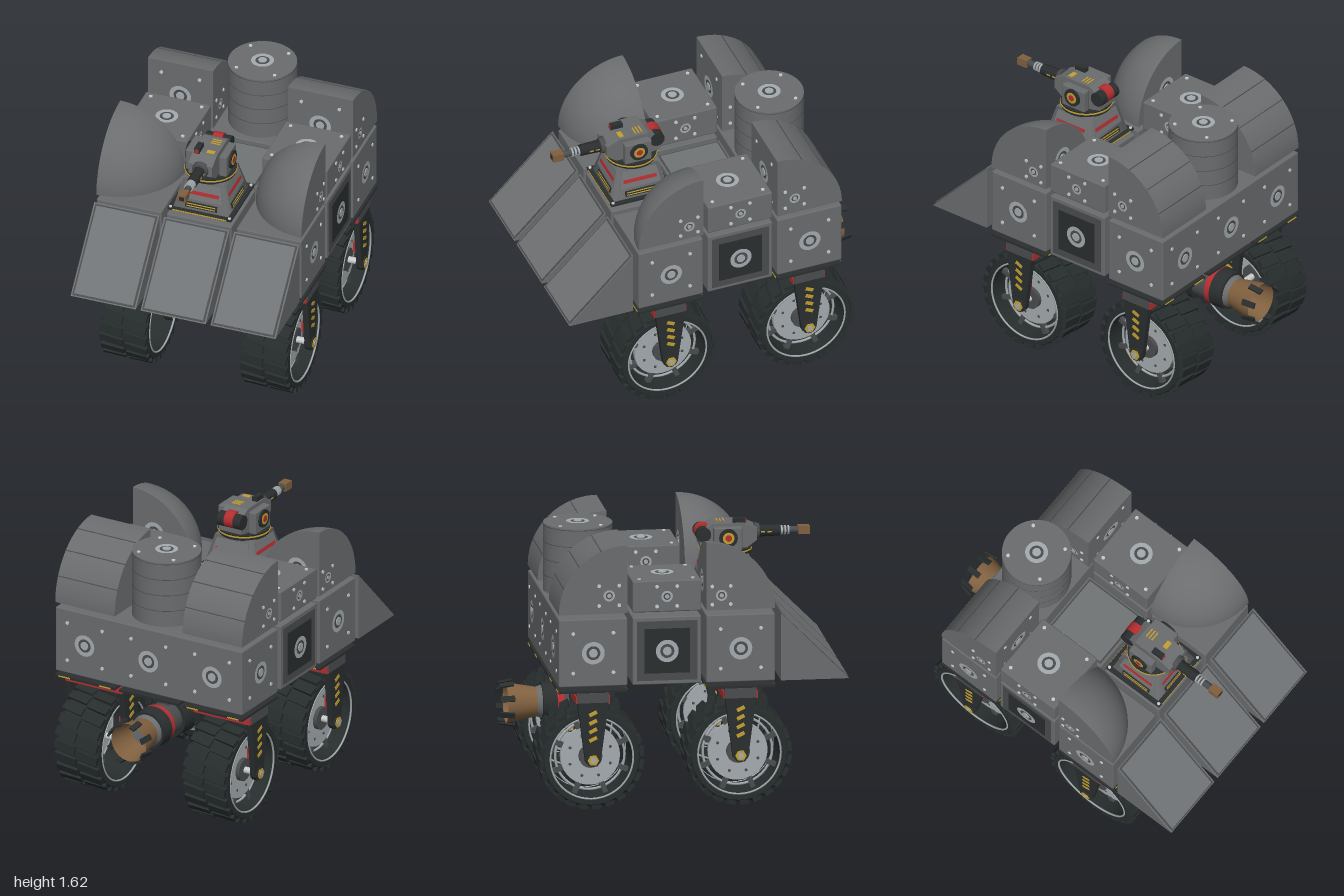
import * as THREE from 'three';
import { mergeGeometries, toCreasedNormals } from 'three/addons/utils/BufferGeometryUtils.js';
import { RoundedBoxGeometry } from 'three/addons/geometries/RoundedBoxGeometry.js';

const mat = (name, color, side = THREE.FrontSide) => new THREE.MeshStandardMaterial({ name, color, side });
const hull = mat('hull grey', 0x6a6c6e, THREE.DoubleSide), panel = mat('panel grey', 0x717476);
const trim = mat('trim grey', 0x4a4c4e), dark = mat('dark metal', 0x2a2e2f);
const rubber = mat('rubber', 0x272d2d), steel = mat('light steel', 0xa4abaf);
const red = mat('red paint', 0xb42e30), yellow = mat('yellow paint', 0xc4a02e);
const copper = mat('copper', 0x80603f, THREE.DoubleSide), bolt = mat('bolt', 0xc8cbcc);
const Z = new THREE.Vector3(0, 0, 1), S = 0.41, COLS = [-0.44, 0, 0.44];

function add(parent, name, geo, m, x = 0, y = 0, z = 0) {
  const mesh = new THREE.Mesh(geo, m);
  mesh.name = name;
  mesh.position.set(x, y, z);
  parent.add(mesh);
  return mesh;
}
function group(parent, name, x = 0, y = 0, z = 0) {
  const g = new THREE.Group();
  g.name = name;
  g.position.set(x, y, z);
  parent.add(g);
  return g;
}
const box = (w, h, d) => new THREE.BoxGeometry(w, h, d);
const block = (w, h, d) => new RoundedBoxGeometry(w, h, d, 1, 0.008);
// Cylinders along each axis; the first radius is at the positive end
const cylY = (a, b, l, n = 24, open = false) => new THREE.CylinderGeometry(a, b, l, n, 1, open);
const cylX = (r, l, n = 24) => cylY(r, r, l, n).rotateZ(-Math.PI / 2);
const cylZ = (a, b, l, n = 24, open = false) => cylY(a, b, l, n, open).rotateX(Math.PI / 2);
function polygon(points) {
  return new THREE.Shape(points.map(([x, y]) => new THREE.Vector2(x, y)));
}
const extrude = (shape, depth, curveSegments = 20) =>
  new THREE.ExtrudeGeometry(shape, { depth, bevelEnabled: false, curveSegments });

// Round socket with optional corner bolts, laid on a face with normal n
function socket(parent, x, y, z, n, size = 1, boltAt = [0.12, 0.12]) {
  const g = group(parent, 'socket', x, y, z);
  g.quaternion.setFromUnitVectors(Z, new THREE.Vector3(...n));
  add(g, 'socketRing', new THREE.RingGeometry(0.042 * size, 0.068 * size, 28), steel, 0, 0, 0.004);
  add(g, 'socketWell', new THREE.CircleGeometry(0.042 * size, 20), trim, 0, 0, 0.003);
  add(g, 'socketPin', cylZ(0.026 * size, 0.026 * size, 0.01, 16), steel, 0, 0, 0.003);
  if (boltAt) for (const i of [-1, 1]) for (const j of [-1, 1])
    add(g, 'bolt', cylZ(0.011, 0.011, 0.006, 10), bolt, i * boltAt[0], j * boltAt[1], 0.002);
}

function buildDeck(root) {
  const g = group(root, 'deck'), y = 0.965;
  add(g, 'rearBeam', block(1.29, S, S), hull, 0, y, -0.525);
  for (const x of COLS) {
    add(g, 'frontBlock', block(S, S, S), hull, x, y, 0.355);
    add(g, 'middleBlock', block(S, S, S), hull, x, y, -0.085);
    socket(g, x, y, -0.731, [0, 0, -1]);
    // Sloped nose wedge with its framed plate
    const wedge = extrude(polygon([[0.595, 0.76], [1, 0.76], [0.595, 1.17]]), S).rotateY(-Math.PI / 2);
    add(g, 'noseWedge', wedge, hull, x + S / 2, 0, 0);
    for (const [w, l, m, o] of [[0.39, 0.56, trim, 0.001], [0.37, 0.54, panel, 0.003]])
      add(g, 'nosePlate', box(w, 0.004, l), m, x, y + o, 0.7975 + o).rotation.x = Math.PI / 4;
  }
  add(g, 'centreRim', box(0.38, 0.004, 0.38), trim, 0, 1.171, -0.085);
  add(g, 'centrePlate', box(0.36, 0.006, 0.36), panel, 0, 1.172, -0.085);
  for (const s of [-1, 1]) {
    for (const z of [0.355, -0.525]) socket(g, s * 0.646, y, z, [s, 0, 0]);
    add(g, 'sideFrame', box(0.006, 0.36, 0.36), trim, s * 0.645, y, -0.085);
    add(g, 'sidePort', box(0.008, 0.27, 0.27), dark, s * 0.648, y, -0.085);
    socket(g, s * 0.652, y, -0.085, [s, 0, 0], 1, null);
  }
  add(g, 'bellyPort', box(0.36, 0.008, 0.36), dark, 0, 0.76, -0.085);
  socket(g, 0, 0.755, -0.085, [0, -1, 0], 1, null);
  socket(g, 0, 0.759, 0.355, [0, -1, 0]);
}

function buildUpperArmour(root) {
  const g = group(root, 'upperArmour'), q = Math.PI / 2;
  for (const s of [-1, 1]) {
    // Ball-corner shield at the front
    const o = group(g, 'frontShield', s * 0.645, 1.2, 0.15), start = s > 0 ? q : 0;
    add(o, 'shieldDome', new THREE.SphereGeometry(S, 20, 20, s > 0 ? 0 : q, q, 0, q), hull);
    add(o, 'shieldBack', new THREE.CircleGeometry(S, 20, start, q), hull);
    add(o, 'shieldBase', new THREE.CircleGeometry(S, 20, start, q).rotateX(q), hull);
    add(o, 'shieldSide', new THREE.CircleGeometry(S, 20, 0, q).rotateY(-q), hull);
    socket(o, s * 0.001, 0.09, 0.09, [s, 0, 0], 0.5, [0.055, 0.055]);
    socket(o, -s * 0.15, 0.15, -0.001, [0, 0, -1], 1, null);
    // Half-height block in the middle
    add(g, 'sideBlock', block(S, 0.19, S), hull, s * 0.44, 1.295, -0.085);
    socket(g, s * 0.44, 1.391, -0.085, [0, 1, 0], 1, [0.16, 0.16]);
    for (const f of [-1, 1]) socket(g, s * 0.44 + f * 0.206, 1.295, -0.085, [f, 0, 0], 0.5, [0.06, 0.06]);
    // Quarter-round shield at the rear
    const r = group(g, 'rearShield', s * 0.44, 1.2, -0.32);
    const shape = new THREE.Shape().moveTo(0, 0).lineTo(S, 0).absarc(0, 0, S, 0, q, false);
    add(r, 'rearCurve', toCreasedNormals(extrude(shape, S).rotateY(q), 0.5), hull, -S / 2);
    for (const k of [1, 2, 3]) {
      const a = k * q / 4;
      add(r, 'seam', box(S, 0.004, 0.006), trim, 0, S * Math.sin(a), -S * Math.cos(a)).rotation.x = a - q;
    }
    socket(r, 0, 0.19, 0.001, [0, 0, 1], 1, [0.12, 0.14]);
    for (const f of [-1, 1]) socket(r, f * 0.206, 0.11, -0.11, [f, 0, 0], 0.5, [0.06, 0.06]);
  }
  // Drum between the rear shields
  add(g, 'drum', cylY(0.205, 0.205, S, 40), hull, 0, 1.405, -0.525);
  for (const y of [1.3, 1.4, 1.5, 1.6]) add(g, 'drumSeam', cylY(0.2065, 0.2065, 0.004, 40, true), trim, 0, y, -0.525);
  socket(g, 0, 1.611, -0.525, [0, 1, 0], 1, [0.12, 0.12]);
}

function buildWheel(root, s, z) {
  const g = group(root, 'wheelUnit', s * 0.4425, 0, z), w = group(g, 'wheel', 0, 0.313, 0);
  // Tyre and slanted treads
  const profile = [[0.245, -0.147], [0.283, -0.147], [0.297, -0.125], [0.297, 0.125], [0.283, 0.147], [0.245, 0.147], [0.245, -0.147]];
  const tyre = new THREE.LatheGeometry(profile.map(p => new THREE.Vector2(...p)), 48).rotateZ(Math.PI / 2);
  add(w, 'tyre', toCreasedNormals(tyre, 0.5), rubber);
  const lugs = [];
  for (let i = 0; i < 24; i++) for (const h of [-1, 1])
    lugs.push(box(0.14, 0.026, 0.055).rotateY(-0.16).translate(h * 0.075, 0.299, h * 0.012).rotateX((i + h * 0.1) * Math.PI / 12));
  add(w, 'treads', mergeGeometries(lugs), rubber);
  // Rim, disc and axle
  const turn = geo => geo.rotateY(Math.PI / 2);
  for (const e of [-1, 1]) add(w, 'rimEdge', turn(new THREE.TorusGeometry(0.247, 0.006, 6, 48)), steel, e * 0.146);
  add(w, 'rimRing', turn(new THREE.TorusGeometry(0.207, 0.008, 6, 40)), steel, s * 0.06);
  add(w, 'disc', cylX(0.178, 0.03, 36), steel, s * 0.06);
  add(w, 'hub', cylX(0.07, 0.08, 20), trim, s * 0.06);
  add(w, 'axle', cylX(0.02, 0.37, 14), bolt);
  for (let i = 0; i < 8; i++) {
    const a = (i + 0.5) * Math.PI / 4, c = Math.cos(a), d = Math.sin(a);
    add(w, 'spoke', box(0.03, 0.075, 0.03), trim, s * 0.06, c * 0.212, d * 0.212).rotation.x = a;
    add(w, 'discHole', cylX(0.009, 0.034, 10), trim, s * 0.06, c * 0.13, d * 0.13);
  }
  // Fork
  const f = group(g, 'fork');
  const leg = extrude(polygon([[-0.095, 0.68], [-0.045, 0.3], [-0.025, 0.275], [0.025, 0.275], [0.045, 0.3], [0.095, 0.68]]), 0.035)
    .rotateY(Math.PI / 2).translate(-0.0175, 0, 0);
  for (const e of [-1, 1]) {
    add(f, 'forkLeg', leg, dark, e * 0.182);
    add(f, 'axleBoss', cylX(0.04, 0.05), dark, e * 0.182, 0.313);
    add(f, 'axleCap', cylX(0.034, 0.008, 6), yellow, e * 0.208, 0.313);
    add(f, 'axleNut', cylX(0.018, 0.012, 10), steel, e * 0.21, 0.313);
    add(f, 'damper', box(0.018, 0.07, 0.11), red, e * 0.156, 0.45);
    for (let i = 0; i < 4; i++)
      add(f, 'stripe', box(0.004, 0.022, 0.05), yellow, e * 0.2005, 0.44 + i * 0.052).rotation.x = -0.45;
  }
  add(f, 'crown', box(0.4, 0.06, 0.19), trim, 0, 0.69, 0);
  add(f, 'crownBar', box(0.39, 0.042, 0.205), red, 0, 0.678, 0);
  add(f, 'mountPlate', box(S, 0.014, S), dark, 0, 0.729, 0);
  for (const e of [-1, 1]) for (const k of [-1, 1])
    add(f, 'plateMark', box(0.08, 0.008, 0.004), yellow, e * 0.14, 0.729, k * 0.206);
  add(f, 'mountNeck', cylY(0.1, 0.1, 0.03), trim, 0, 0.75, 0);
}

function buildThruster(root) {
  const g = group(root, 'thruster', 0, 0.525, 0);
  add(g, 'mountPlate', box(S, 0.014, S), dark, 0, 0.204, -0.525);
  add(g, 'mountNeck', cylY(0.1, 0.1, 0.03), trim, 0, 0.225, -0.525);
  add(g, 'pylon', cylY(0.125, 0.05, 0.11, 4).rotateY(Math.PI / 4), hull, 0, 0.15, -0.525);
  add(g, 'intakeRing', new THREE.TorusGeometry(0.122, 0.017, 10, 36), steel, 0, 0, -0.37);
  add(g, 'intakeBack', new THREE.CircleGeometry(0.12, 32), copper, 0, 0, -0.385);
  for (let i = 0; i < 12; i++) {
    const a = i * Math.PI / 6;
    add(g, 'vane', box(0.016, 0.09, 0.012), steel, -Math.sin(a) * 0.07, Math.cos(a) * 0.07, -0.375).rotation.z = a;
  }
  add(g, 'intakeHub', cylZ(0.022, 0.03, 0.03), red, 0, 0, -0.365);
  // Body segments: name, material, front radius, rear radius, front z, rear z
  for (const [name, m, a, b, z0, z1] of [
    ['bodyFront', dark, 0.135, 0.125, -0.386, -0.52], ['bodyBand', trim, 0.105, 0.105, -0.52, -0.62],
    ['redBand', red, 0.118, 0.118, -0.62, -0.66], ['bodyRear', dark, 0.122, 0.115, -0.66, -0.745],
    ['collar', hull, 0.1, 0.085, -0.745, -0.78]]) add(g, name, cylZ(a, b, z0 - z1, 32), m, 0, 0, (z0 + z1) / 2);
  add(g, 'nozzle', cylZ(0.088, 0.12, 0.18, 32, true), copper, 0, 0, -0.865);
  for (let i = 0; i < 8; i++) {
    const claw = group(g, 'claw');
    claw.rotation.z = (i + 0.5) * Math.PI / 4;
    add(claw, 'clawTip', box(0.035, 0.012, 0.085), dark, 0, 0.128, -0.957).rotation.x = -0.17;
  }
}

function buildTurret(root) {
  const g = group(root, 'turret', 0, 1.2, 0.355), r2 = Math.SQRT2;
  add(g, 'footPlate', box(0.4, 0.012, 0.4), dark, 0, 0.006, 0);
  add(g, 'footLine', box(0.34, 0.008, 0.404), yellow, 0, 0.006, 0);
  add(g, 'pedestal', cylY(0.125 * r2, 0.172 * r2, 0.19, 4).rotateY(Math.PI / 4), hull, 0, 0.107, 0);
  for (let i = 0; i < 4; i++) {
    const side = group(g, 'pedestalSide');
    side.rotation.y = i * Math.PI / 2;
    const face = group(side, 'pedestalFace', 0, 0.107, 0.1495);
    face.rotation.x = -0.243;
    add(face, 'facePanel', extrude(polygon([[-0.13, -0.03], [0.13, -0.03], [0.108, 0.08], [-0.108, 0.08]]), 0.004), panel);
    add(face, 'redBar', box(0.21, 0.022, 0.006), red, 0, 0.015, 0.004);
    add(face, 'grille', box(0.2, 0.035, 0.006), dark, 0, -0.065, 0.002);
    for (const y of [-0.073, -0.058]) add(face, 'grilleLine', box(0.18, 0.006, 0.004), yellow, 0, y, 0.005);
    for (const k of [-1, 1]) add(side, 'footBolt', cylY(0.01, 0.01, 0.008, 8), bolt, k * 0.185, 0.014, 0.185);
  }
  add(g, 'turntable', cylY(0.155, 0.15, 0.035, 28), dark, 0, 0.217, 0);
  add(g, 'turntableLine', cylY(0.158, 0.158, 0.008, 28), yellow, 0, 0.222, 0);
  // Head with cheeks
  const profile = polygon([[-0.16, 0.25], [-0.1, 0.235], [0.12, 0.235], [0.18, 0.28], [0.18, 0.35], [0.1, 0.385], [-0.08, 0.385], [-0.16, 0.34]]);
  add(g, 'head', extrude(profile, 0.15).rotateY(-Math.PI / 2), hull, 0.075);
  for (const s of [-1, 1]) {
    add(g, 'cheek', block(0.05, 0.14, 0.17), hull, s * 0.105, 0.3, 0);
    add(g, 'pivot', cylX(0.055, 0.02, 20), dark, s * 0.133, 0.31, 0);
    add(g, 'pivotRing', cylX(0.035, 0.024, 16), yellow, s * 0.133, 0.31, 0);
    add(g, 'pivotCap', cylX(0.02, 0.028, 12), red, s * 0.133, 0.31, 0);
    add(g, 'rearPod', cylX(0.045, 0.05, 16), dark, s * 0.055, 0.32, -0.14);
  }
  add(g, 'rearDrum', cylX(0.052, 0.06, 18), red, 0, 0.325, -0.135);
  add(g, 'sight', box(0.035, 0.035, 0.075), dark, -0.048, 0.395, 0.075);
  add(g, 'sightLens', box(0.026, 0.022, 0.006), red, -0.048, 0.397, 0.114);
  for (const z of [-0.05, -0.03, -0.01]) add(g, 'headMark', box(0.06, 0.006, 0.008), yellow, 0.025, 0.386, z);
  add(g, 'headPlate', box(0.05, 0.006, 0.03), yellow, 0.03, 0.386, 0.08);
  // Gun
  const gun = group(g, 'gun', 0, 0.317, 0);
  add(gun, 'sleeve', cylZ(0.034, 0.038, 0.17, 8), dark, 0, 0, 0.24);
  for (const s of [-1, 1]) for (const z of [0.22, 0.26])
    add(gun, 'sleeveMark', box(0.004, 0.008, 0.025), yellow, s * 0.0345, 0, z);
  add(gun, 'mantlet', cylZ(0.045, 0.055, 0.03, 16), trim, 0, 0, 0.185);
  add(gun, 'barrel', cylZ(0.02, 0.02, 0.13, 16), trim, 0, 0, 0.385);
  for (const z of [0.335, 0.355, 0.375]) add(gun, 'barrelRing', cylZ(0.028, 0.028, 0.01, 16), steel, 0, 0, z);
  add(gun, 'muzzle', box(0.052, 0.048, 0.068), copper, 0, 0, 0.467);
  add(gun, 'bore', box(0.03, 0.026, 0.004), dark, 0, 0, 0.501);
}

export function createModel() {
  const root = new THREE.Group();
  root.name = 'armouredRover';
  buildDeck(root);
  buildUpperArmour(root);
  for (const s of [-1, 1]) for (const z of [0.355, -0.525]) buildWheel(root, s, z);
  buildThruster(root);
  buildTurret(root);
  return root;
}
